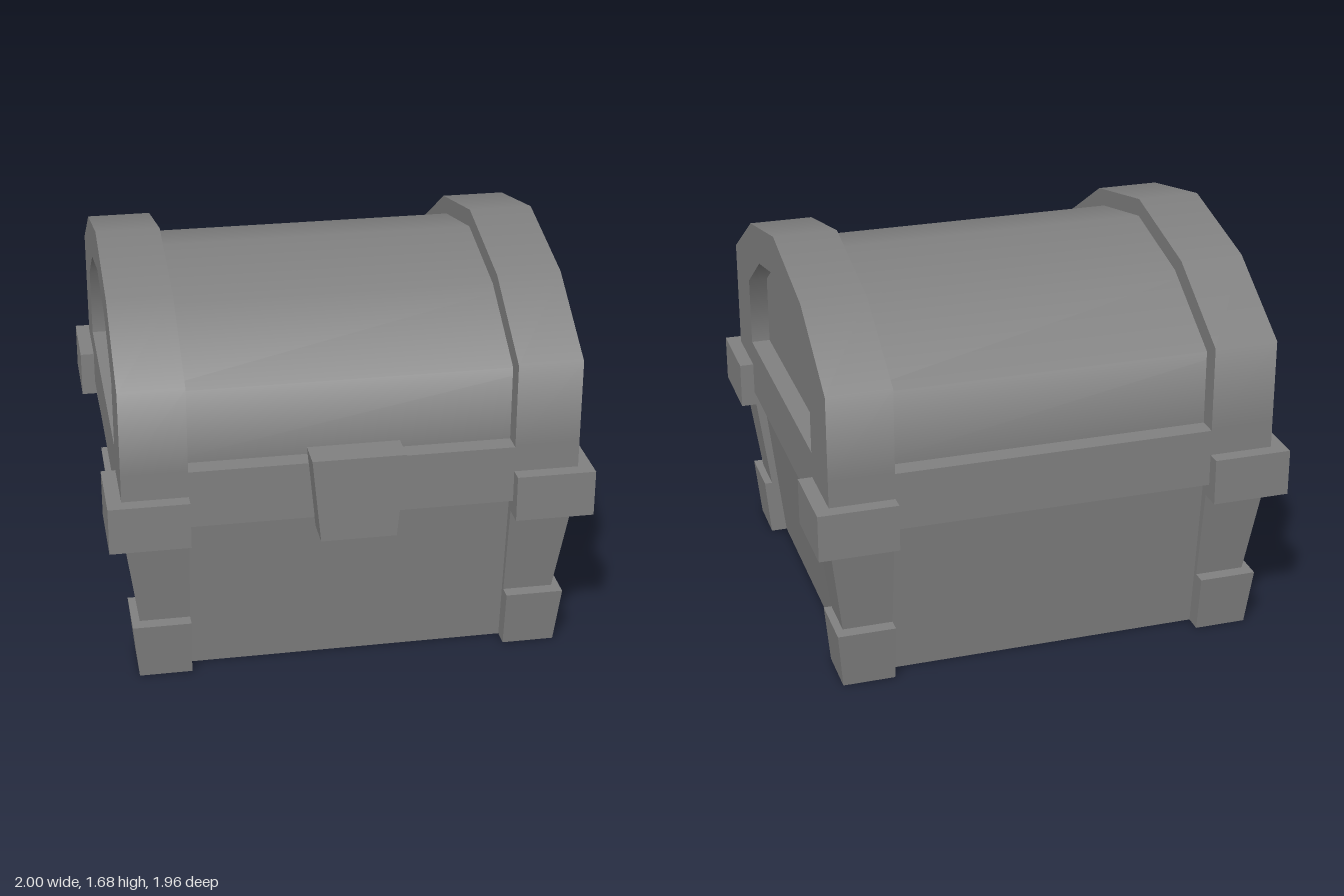
import * as THREE from 'three';

const material = new THREE.MeshStandardMaterial({ color: 0x808080 });

function addMesh(parent, geometry, name) {
  const mesh = new THREE.Mesh(geometry, material);
  mesh.name = name;
  parent.add(mesh);
}

// Box whose bottom and top are separate rectangles [x0, x1, z0, z1]
function taperedBox(y0, y1, bottom, top = bottom) {
  const geometry = new THREE.BoxGeometry(1, 1, 1);
  const p = geometry.attributes.position;
  for (let i = 0; i < p.count; i++) {
    const up = p.getY(i) > 0;
    const r = up ? top : bottom;
    p.setXYZ(i, p.getX(i) > 0 ? r[1] : r[0], up ? y1 : y0, p.getZ(i) > 0 ? r[3] : r[2]);
  }
  geometry.computeVertexNormals();
  return geometry;
}

// Rectangle centred on the origin
const centred = (hx, hz) => [-hx, hx, -hz, hz];

// Rectangle in one corner, from the inner edges out to (x, z)
const INNER_X = 0.67, INNER_Z = 0.598;
function corner(sx, sz, x, z) {
  const xs = sx > 0 ? [INNER_X, x] : [-x, -INNER_X];
  const zs = sz > 0 ? [INNER_Z, z] : [-z, -INNER_Z];
  return [...xs, ...zs];
}

// Mirror one half of an arch (ending at its peak) into a full arch of (z, y) points
function arch(half) {
  const back = half.slice(0, -1).reverse().map(([z, y]) => [-z, y]);
  return [...half, ...back].map(([z, y]) => new THREE.Vector2(z, y));
}

// Prism along x with flat end caps and its sides smoothed over soft bends
function prism(points, x0, x1) {
  const count = points.length;
  const normals = points.map((a, i) => {
    const b = points[(i + 1) % count];
    return new THREE.Vector2(b.y - a.y, a.x - b.x).normalize();
  });
  const blend = (n, m) => (n.dot(m) > 0.45 ? n.clone().add(m).normalize() : n);
  const position = [], normal = [];
  const push = (x, point, nx, n) => {
    position.push(x, point.y, point.x);
    normal.push(nx, n.y, n.x);
  };
  // Sides, one quad per outline edge
  points.forEach((a, i) => {
    const j = (i + 1) % count, b = points[j];
    const na = blend(normals[i], normals[(i + count - 1) % count]);
    const nb = blend(normals[i], normals[j]);
    for (const [x, end] of [[x0, 0], [x1, 1], [x0, 1], [x0, 0], [x1, 0], [x1, 1]]) {
      push(x, end ? b : a, 0, end ? nb : na);
    }
  });
  // End caps
  const flat = new THREE.Vector2();
  for (const tri of THREE.ShapeUtils.triangulateShape(points, [])) {
    for (const k of tri) push(x0, points[k], -1, flat);
    for (const k of [...tri].reverse()) push(x1, points[k], 1, flat);
  }
  const geometry = new THREE.BufferGeometry();
  geometry.setAttribute('position', new THREE.Float32BufferAttribute(position, 3));
  geometry.setAttribute('normal', new THREE.Float32BufferAttribute(normal, 3));
  return geometry;
}

export function createModel() {
  const model = new THREE.Group();
  model.name = 'chest';
  const chest = new THREE.Group();
  chest.name = 'chestBody';
  chest.position.z = -0.035; // the clasp makes the front deeper
  model.add(chest);

  // Tapered lower box
  addMesh(chest, taperedBox(0, 0.73, centred(0.82, 0.745), centred(0.905, 0.825)), 'base');

  // Lid rim and barrel; the barrel ends form the recessed side panels
  addMesh(chest, taperedBox(0.72, 0.967, centred(0.94, 0.885)), 'lidRim');
  const barrel = arch([[0.8, 0.96], [0.8, 1.285], [0.43, 1.505], [0, 1.6]]);
  addMesh(chest, prism(barrel, -0.86, 0.86), 'lidBarrel');

  // Raised arched straps at both ends of the lid
  const outer = arch([[0.885, 0.967], [0.885, 1.33], [0.495, 1.567], [0, 1.676]]);
  const inner = arch([[0.598, 0.967], [0.598, 1.263], [0.335, 1.438], [0, 1.507]]);
  const strap = [...outer, ...inner.reverse()];
  addMesh(chest, prism(strap, INNER_X, 0.94), 'leftLidStrap');
  addMesh(chest, prism(strap, -0.94, -INNER_X), 'rightLidStrap');

  // Corner fittings: post, foot and block
  for (const sx of [1, -1]) {
    for (const sz of [1, -1]) {
      const fitting = new THREE.Group();
      fitting.name = (sz > 0 ? 'front' : 'back') + (sx > 0 ? 'Left' : 'Right') + 'Corner';
      const at = (x, z) => corner(sx, sz, x, z);
      addMesh(fitting, taperedBox(0.2, 0.7, at(0.873, 0.788), at(0.94, 0.86)), 'cornerPost');
      addMesh(fitting, taperedBox(0, 0.25, at(0.89, 0.82), at(0.913, 0.852)), 'cornerFoot');
      addMesh(fitting, taperedBox(0.658, 0.857, at(1, 0.945)), 'cornerBlock');
      chest.add(fitting);
    }
  }

  // Clasp, narrower towards the bottom
  addMesh(chest, taperedBox(0.677, 1.037, [-0.155, 0.155, 0.88, 1.015], [-0.19, 0.19, 0.88, 1.015]), 'clasp');

  return model;
}
